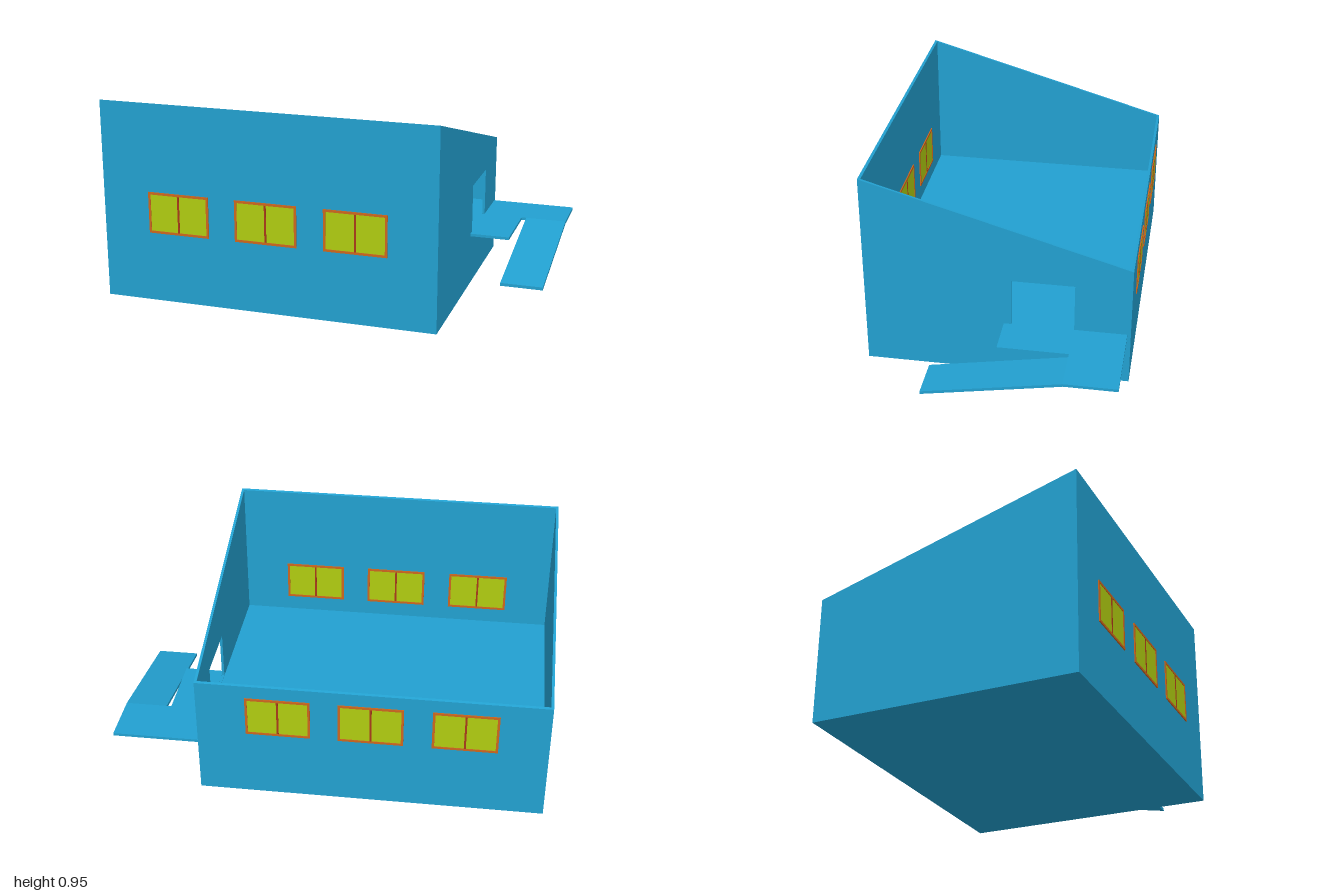
import * as THREE from 'three';

const blue = new THREE.MeshStandardMaterial({ name: 'blue shell', color: 0x22a0d0 });
const yellow = new THREE.MeshStandardMaterial({ name: 'yellow panes', color: 0xb0cc10 });
const orange = new THREE.MeshStandardMaterial({ name: 'orange frames', color: 0xcc661e });
const red = new THREE.MeshStandardMaterial({ name: 'red mullions', color: 0xa83a18 });

const X0 = -1, X1 = 0.595, Z = 0.611, WALL = 0.012, FLOOR = 0.255;
const roofline = (z) => 0.768 + 0.29 * z; // wall tops slope up towards the front

function mesh(name, geometry, material) {
  const m = new THREE.Mesh(geometry, material);
  m.name = name;
  return m;
}

function box(name, x0, x1, y0, y1, z0, z1, material) {
  const g = new THREE.BoxGeometry(x1 - x0, y1 - y0, z1 - z0);
  g.translate((x0 + x1) / 2, (y0 + y1) / 2, (z0 + z1) / 2);
  return mesh(name, g, material);
}

const outline = (points) => points.map(([a, b]) => new THREE.Vector2(a, b));

// Extrude a (z, y) profile along x
function extrudeX(name, points, x0, x1, hole) {
  const shape = new THREE.Shape(outline(points));
  if (hole) shape.holes.push(new THREE.Path(outline(hole)));
  const g = new THREE.ExtrudeGeometry(shape, { depth: x1 - x0, bevelEnabled: false });
  g.rotateY(-Math.PI / 2).translate(x1, 0, 0);
  return mesh(name, g, blue);
}

const wallProfile = (z0, z1) => [[z0, 0], [z1, 0], [z1, roofline(z1)], [z0, roofline(z0)]];

// Two-pane window visible on both sides of its wall
function windowUnit(x, z) {
  const w = 0.296, h = 0.196, t = 0.011, depth = 0.022;
  const rect = (a, b) => outline([[-a, -b], [a, -b], [a, b], [-a, b]]);
  const shape = new THREE.Shape(rect(w / 2, h / 2));
  shape.holes.push(new THREE.Path(rect(w / 2 - t, h / 2 - t)));
  const frame = new THREE.ExtrudeGeometry(shape, { depth, bevelEnabled: false });
  frame.translate(0, 0, -depth / 2);
  const unit = new THREE.Group();
  unit.name = 'window';
  unit.add(mesh('windowFrame', frame, orange));
  unit.add(mesh('windowPanes', new THREE.BoxGeometry(w - 2 * t, h - 2 * t, 0.017), yellow));
  unit.add(mesh('windowMullion', new THREE.BoxGeometry(0.009, h - 2 * t, 0.021), red));
  unit.position.set(x, 0.43, z);
  return unit;
}

export function createModel() {
  const model = new THREE.Group();
  model.name = 'building';
  const inner = Z - WALL;

  // Open-topped shell with a raised floor
  model.add(extrudeX('frontWall', wallProfile(inner, Z), X0 + WALL, X1 - WALL));
  model.add(extrudeX('backWall', wallProfile(-Z, -inner), X0 + WALL, X1 - WALL));
  model.add(extrudeX('rightWall', wallProfile(-Z, Z), X0, X0 + WALL));
  const door = [[-0.355, 0.257], [-0.355, 0.489], [-0.067, 0.489], [-0.067, 0.257]];
  model.add(extrudeX('doorWall', wallProfile(-Z, Z), X1 - WALL, X1, door));
  model.add(box('floor', X0 + WALL, X1 - WALL, 0, FLOOR, -inner, inner, blue));

  // Windows along the front and back
  for (const side of [-1, 1]) {
    for (const x of [-0.626, -0.202, 0.22]) model.add(windowUnit(x, side * (Z - WALL / 2)));
  }

  // L-shaped landing outside the door
  const landing = new THREE.Shape(outline([
    [X1, 0.595], [X1, 0.033], [0.782, 0.033], [0.782, 0.355], [1, 0.355], [1, 0.595],
  ]));
  const slab = new THREE.ExtrudeGeometry(landing, { depth: 0.013, bevelEnabled: false });
  slab.rotateX(-Math.PI / 2).translate(0, 0.245, 0);
  model.add(mesh('landing', slab, blue));

  // Ramp descending towards the front
  model.add(extrudeX('ramp',
    [[-0.355, 0.244], [0.27, 0.128], [0.27, 0.142], [-0.355, 0.258]], 0.805, 1));
  return model;
}
